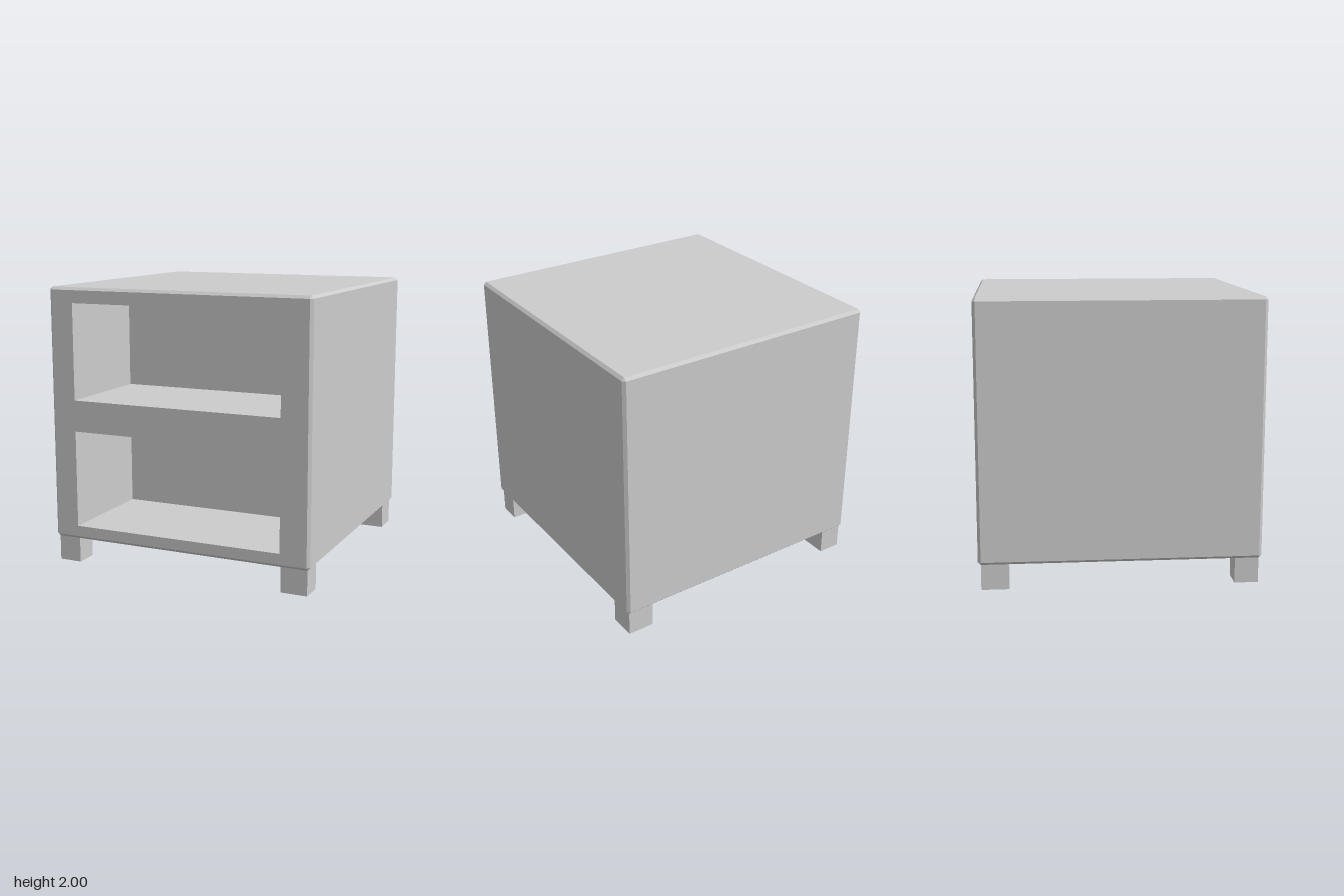
import * as THREE from 'three';
import { mergeGeometries } from 'three/addons/utils/BufferGeometryUtils.js';

const HALF = 0.985, BOTTOM = 0.18, TOP = 2, BEVEL = 0.02;
const CAVITY_BACK = 0.185;
const OPENINGS = [[1.2, 1.89], [0.277, 0.975]];
const OPEN_LEFT = -0.798, OPEN_RIGHT = 0.773;

// Flat-shaded skin between rings of [x, y] points placed at successive z
function loft(rings) {
  const pos = [];
  for (let r = 0; r < rings.length - 1; r++) {
    const [p, q] = [rings[r], rings[r + 1]];
    p.pts.forEach((_, i) => {
      const j = (i + 1) % p.pts.length;
      const a = [...p.pts[i], p.z], b = [...p.pts[j], p.z];
      const c = [...q.pts[j], q.z], d = [...q.pts[i], q.z];
      pos.push(...a, ...b, ...c, ...a, ...c, ...d);
    });
  }
  const g = new THREE.BufferGeometry();
  g.setAttribute('position', new THREE.Float32BufferAttribute(pos, 3));
  g.computeVertexNormals();
  return g;
}

// Counter-clockwise rectangle
const rect = (x0, x1, y0, y1) => [[x0, y0], [x1, y0], [x1, y1], [x0, y1]];

// Rectangle with two points per corner: cut along x, then along y
function cornerRing(cutA, cutB) {
  const x = HALF, y0 = BOTTOM, y1 = TOP, a = cutA, b = cutB;
  return [
    [-x + a, y0 + b], [x - a, y0 + b], [x - b, y0 + a], [x - b, y1 - a],
    [x - a, y1 - b], [-x + a, y1 - b], [-x + b, y1 - a], [-x + b, y0 + a],
  ];
}

// Flat face towards +z, with optional holes
function face(points, z, holes = []) {
  const toVectors = (pts) => pts.map(([x, y]) => new THREE.Vector2(x, y));
  const shape = new THREE.Shape(toVectors(points));
  shape.holes = holes.map((h) => new THREE.Path(toVectors(h)));
  const g = new THREE.ShapeGeometry(shape).toNonIndexed();
  g.deleteAttribute('uv');
  return g.translate(0, 0, z);
}

export function createModel() {
  const group = new THREE.Group();
  const material = new THREE.MeshStandardMaterial({ color: 0xcccccc, flatShading: true });

  const add = (name, geometry) => {
    const mesh = new THREE.Mesh(geometry, material);
    mesh.name = name;
    group.add(mesh);
    return mesh;
  };

  // Chamfered cabinet with two openings in the front
  const inset = cornerRing(BEVEL, BEVEL), full = cornerRing(BEVEL, 0);
  const edge = HALF - BEVEL;
  const panel = rect(-edge, edge, BOTTOM + BEVEL, TOP - BEVEL);
  const holes = OPENINGS.map(([y0, y1]) => rect(OPEN_LEFT, OPEN_RIGHT, y0, y1));
  add('cabinet', mergeGeometries([
    loft([
      { pts: inset, z: -HALF }, { pts: full, z: -edge },
      { pts: full, z: edge }, { pts: inset, z: HALF },
    ]),
    face(panel, HALF, holes),
    face(panel, 0).rotateY(Math.PI).translate(0, 0, -HALF),
  ]));

  // Inward-facing compartments, lofted front to back
  holes.forEach((hole, i) => {
    add(i === 0 ? 'upperCompartment' : 'lowerCompartment', mergeGeometries([
      loft([{ pts: hole, z: HALF }, { pts: hole, z: CAVITY_BACK }]),
      face(hole, CAVITY_BACK),
    ]));
  });

  // Four square feet
  const spansX = { Right: [-0.965, -0.798], Left: [0.773, 0.965] };
  const spansZ = { front: [0.798, 0.965], back: [-0.965, -0.773] };
  for (const [side, [x0, x1]] of Object.entries(spansX)) {
    for (const [end, [z0, z1]] of Object.entries(spansZ)) {
      const foot = add(`${end}${side}Foot`, new THREE.BoxGeometry(x1 - x0, BOTTOM, z1 - z0));
      foot.position.set((x0 + x1) / 2, BOTTOM / 2, (z0 + z1) / 2);
    }
  }

  return group;
}
